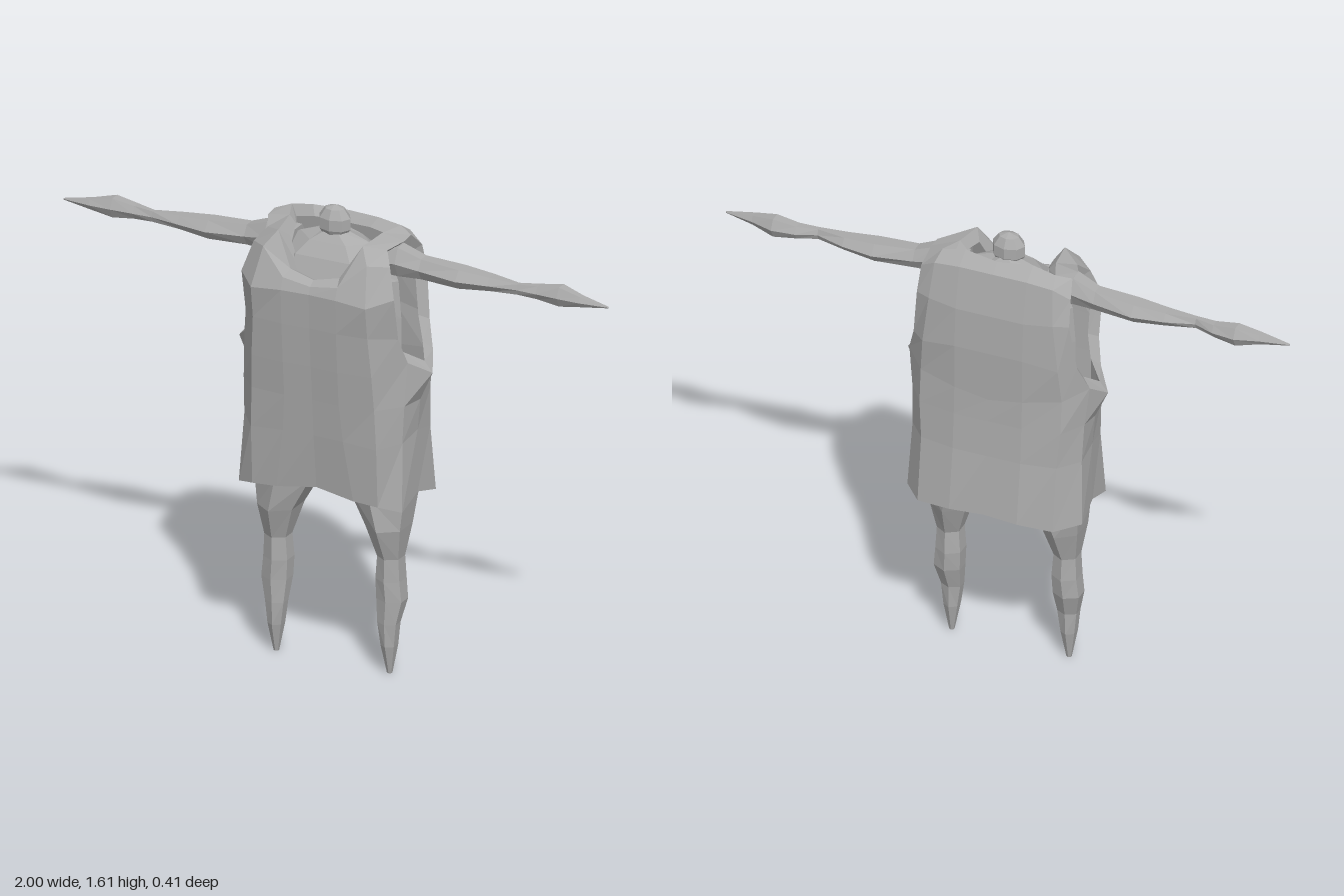
import * as THREE from 'three';

const cloth = new THREE.MeshStandardMaterial({ color: 0xaaaaaa });
cloth.name = 'plain grey';
cloth.side = THREE.DoubleSide;
cloth.flatShading = true;

function meshFrom(name, quads) {
  const pos = [];
  for (const [a, b, c, d] of quads) pos.push(...a, ...b, ...c, ...a, ...c, ...d);
  const g = new THREE.BufferGeometry();
  g.setAttribute('position', new THREE.Float32BufferAttribute(pos, 3));
  g.computeVertexNormals();
  const m = new THREE.Mesh(g, cloth);
  m.name = name;
  return m;
}

// Skin rings of points into a closed limb
function loft(name, rings) {
  const quads = [], n = rings[0].length;
  for (let i = 0; i + 1 < rings.length; i++)
    for (let j = 0; j < n; j++) {
      const k = (j + 1) % n;
      quads.push([rings[i][j], rings[i][k], rings[i + 1][k], rings[i + 1][j]]);
    }
  for (const r of [rings[0], rings[rings.length - 1]])
    for (let j = 1; j + 1 < n; j += 2) quads.push([r[0], r[j], r[j + 1], r[(j + 2) % n]]);
  return meshFrom(name, quads);
}

// Six-sided ring filling the limits u0..u1 and v0..v1 across the limb
function ring(u0, u1, v0, v1, place) {
  return Array.from({ length: 6 }, (_, i) => {
    const a = i * Math.PI / 3;
    return place((u0 + u1) / 2 + Math.cos(a) * (u1 - u0) / 2, (v0 + v1) / 2 + Math.sin(a) / .866 * (v1 - v0) / 2);
  });
}

// Tunic half rows, front centre round the side to back centre; upper rows skip the side column
const lower = [
  [[0, .66, .14], [.14, .64, .15], [.23, .635, .15], [.30, .615, .11], [.30, .65, 0], [.31, .62, -.11], [.24, .62, -.19], [.12, .63, -.21], [0, .635, -.205]],
  [[0, .85, .16], [.11, .85, .165], [.23, .84, .16], [.29, .85, .09], [.30, .87, 0], [.30, .85, -.09], [.24, .85, -.16], [.12, .85, -.18], [0, .85, -.18]],
  [[0, .98, .17], [.1, .98, .175], [.225, .98, .165], [.295, .98, .085], [.31, .98, 0], [.305, .99, -.08], [.25, .98, -.15], [.12, .98, -.17], [0, .98, -.17]],
  [[0, 1.1, .18], [.1, 1.1, .185], [.22, 1.1, .175], [.30, 1.13, .07], [.355, 1.08, 0], [.32, 1.13, -.07], [.25, 1.1, -.14], [.12, 1.08, -.165], [0, 1.06, -.165]],
];
const upper = [
  [[0, 1.24, .19], [.1, 1.24, .195], [.21, 1.24, .185], [.28, 1.22, .10], null, [.29, 1.22, -.105], [.24, 1.22, -.15], [.12, 1.24, -.165], [0, 1.24, -.165]],
  [[0, 1.36, .195], [.1, 1.36, .20], [.21, 1.35, .20], [.28, 1.37, .13], null, [.27, 1.39, -.125], [.22, 1.39, -.145], [.12, 1.38, -.155], [0, 1.38, -.155]],
  [[0, 1.385, .185], [.1, 1.40, .185], [.19, 1.48, .15], [.25, 1.47, .10], null, [.265, 1.48, -.10], [.21, 1.515, -.12], [.12, 1.525, -.125], [0, 1.525, -.125]],
  [[0, 1.40, .16], [.09, 1.42, .15], [.155, 1.53, .11], [.22, 1.51, .06], null, [.25, 1.53, -.05], [.2, 1.545, -.075], [.12, 1.56, -.07], [0, 1.555, -.09]],
];

function tunicHalf(s) {
  const quads = [], rows = [...lower, ...upper];
  for (let i = 0; i < rows.length - 1; i++) {
    const a = rows[i], b = rows[i + 1];
    for (let j = 0; j < 8; j++) if (b[j] && b[j + 1]) quads.push([a[j], a[j + 1], b[j + 1], b[j]]);
  }
  // Shoulder bridge and turned-in neck edge
  const t = rows[7];
  const ridge = [[.17, 1.54, 0], [.25, 1.525, 0]];
  quads.push([t[2], t[3], ridge[1], ridge[0]], [ridge[0], ridge[1], t[5], t[6]]);
  const neck = [t[0], t[1], t[2], ridge[0], t[6], t[7], t[8]];
  const tuck = neck.map(([x, y, z]) => [x * .85, y - .03, z * .65]);
  for (let j = 0; j < 6; j++) quads.push([neck[j], neck[j + 1], tuck[j + 1], tuck[j]]);
  // Lip round the arm opening
  const hole = [lower[3][4], ...[3, 4, 5, 6, 7].map(i => rows[i][3]), ridge[1], ...[7, 6, 5, 4, 3].map(i => rows[i][5])];
  const lip = hole.map(([x, y, z]) => [x - .03, 1.33 + (y - 1.33) * .85, z * .78]);
  hole.forEach((p, j) => {
    const k = (j + 1) % hole.length;
    quads.push([p, hole[k], lip[k], lip[j]]);
  });
  return quads.map(q => {
    const m = q.map(([x, y, z]) => [x * s, y, z]);
    return s > 0 ? m : m.reverse();
  });
}

// Stations: position along the limb, then limits across it
const armStations = [
  [.14, 1.41, 1.50, -.06, .05], [.24, 1.41, 1.51, -.045, .05], [.32, 1.41, 1.48, -.045, .035],
  [.46, 1.405, 1.47, -.06, .045], [.57, 1.415, 1.462, -.045, .03], [.67, 1.42, 1.457, -.015, .015],
  [.74, 1.415, 1.46, -.04, .015], [.82, 1.405, 1.472, -.05, .02], [.90, 1.42, 1.455, -.025, .018], [1, 1.433, 1.438, -.003, .003],
];
const legStations = [
  [.80, .03, .23, -.10, .09], [.64, .07, .275, -.115, .105], [.52, .135, .262, -.085, .10], [.41, .168, .246, -.04, .058],
  [.33, .162, .25, -.045, .06], [.26, .165, .257, -.04, .058], [.18, .172, .24, -.012, .058], [.10, .183, .232, -.01, .055], [0, .2, .216, .012, .03],
];
const torsoStations = [
  [.66, .16, .09], [.76, .22, .11], [.95, .21, .11], [1.1, .24, .12], [1.25, .24, .125], [1.38, .23, .125], [1.45, .2, .095], [1.495, .13, .06], [1.53, .03, .03],
];

export function createModel() {
  const model = new THREE.Group();
  model.name = 'robedFigure';
  model.add(meshFrom('tunic', [...tunicHalf(1), ...tunicHalf(-1)]));

  model.add(loft('torso', torsoStations.map(([y, rx, rz]) =>
    ring(-rx, rx, -rz, rz, (x, z) => [x, y, z]))));

  // Small faceted head
  const head = new THREE.Mesh(new THREE.SphereGeometry(1, 8, 5), cloth);
  head.name = 'head';
  head.scale.set(.06, .062, .045);
  head.position.set(0, 1.55, .008);
  model.add(head);

  for (const s of [1, -1]) {
    const side = s > 0 ? 'left' : 'right';
    model.add(loft(side + 'Arm', armStations.map(([x, y0, y1, z0, z1]) =>
      ring(z0, z1, y0, y1, (z, y) => [x * s, y, z]))));
    model.add(loft(side + 'Leg', legStations.map(([y, x0, x1, z0, z1]) =>
      ring(z0, z1, x0, x1, (z, x) => [x * s, y, z]))));
  }
  return model;
}
